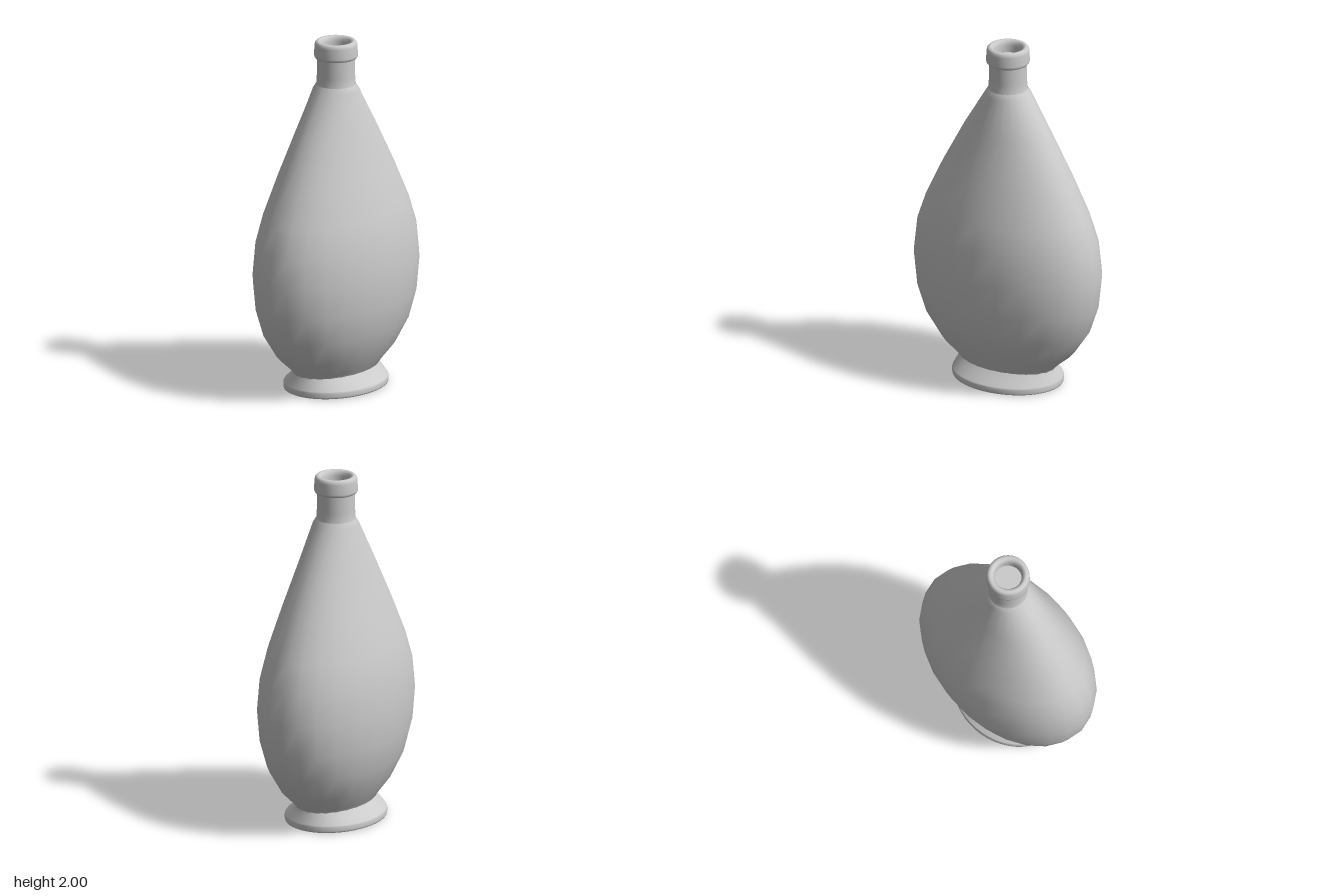
import * as THREE from 'three';

const material = new THREE.MeshStandardMaterial({ color: 0xcccccc, side: THREE.DoubleSide });

// Smooth skin through elliptical rings given as [y, halfWidthX, halfDepthZ], bottom to top
function ellipseLoft(name, rings, segments) {
  const positions = [];
  const indices = [];
  const row = segments + 1;
  rings.forEach(([y, rx, rz], j) => {
    for (let i = 0; i <= segments; i++) {
      const a = ((i % segments) / segments) * Math.PI * 2;
      positions.push(rx * Math.sin(a), y, rz * Math.cos(a));
      if (j > 0 && i < segments) {
        const p = (j - 1) * row + i;
        const q = p + row;
        indices.push(p, p + 1, q + 1, p, q + 1, q);
      }
    }
  });
  const geometry = new THREE.BufferGeometry();
  geometry.setAttribute('position', new THREE.Float32BufferAttribute(positions, 3));
  geometry.setIndex(indices);
  geometry.computeVertexNormals();
  // Blend the normals across the seam
  const n = geometry.attributes.normal;
  const a = new THREE.Vector3();
  const b = new THREE.Vector3();
  for (let j = 0; j < rings.length; j++) {
    const first = j * row;
    const last = first + segments;
    a.fromBufferAttribute(n, first).add(b.fromBufferAttribute(n, last)).normalize();
    n.setXYZ(first, a.x, a.y, a.z);
    n.setXYZ(last, a.x, a.y, a.z);
  }
  const mesh = new THREE.Mesh(geometry, material);
  mesh.name = name;
  return mesh;
}

// Round part from a [radius, y] profile
function lathe(name, profile, segments = 48) {
  const points = profile.map(([r, y]) => new THREE.Vector2(r, y));
  const mesh = new THREE.Mesh(new THREE.LatheGeometry(points, segments), material);
  mesh.name = name;
  return mesh;
}

// Flat horizontal ellipse
function disc(name, y, rx, rz, facing) {
  const geometry = new THREE.CircleGeometry(1, 48);
  geometry.rotateX(-facing * Math.PI / 2);
  geometry.scale(rx, 1, rz);
  geometry.translate(0, y, 0);
  const mesh = new THREE.Mesh(geometry, material);
  mesh.name = name;
  return mesh;
}

export function createModel() {
  const group = new THREE.Group();
  group.name = 'bottle';

  // Flattened teardrop body, narrowing to a round shoulder
  group.add(ellipseLoft('body', [
    [0.10, 0.19, 0.295],
    [0.12, 0.2, 0.305],
    [0.21, 0.262, 0.41],
    [0.35, 0.325, 0.505],
    [0.51, 0.36, 0.56],
    [0.69, 0.372, 0.58],
    [0.87, 0.36, 0.56],
    [1.03, 0.327, 0.505],
    [1.25, 0.263, 0.4],
    [1.5, 0.188, 0.265],
    [1.72, 0.13, 0.13],
    [1.75, 0.112, 0.112],
  ], 24));

  // Flared oval foot with a softened rim
  const foot = new THREE.Group();
  foot.name = 'foot';
  foot.add(ellipseLoft('footSide', [
    [0, 0.255, 0.318],
    [0.004, 0.264, 0.326],
    [0.012, 0.267, 0.328],
    [0.034, 0.267, 0.328],
    [0.042, 0.262, 0.325],
    [0.08, 0.217, 0.306],
    [0.108, 0.19, 0.295],
  ], 48));
  foot.add(disc('footBase', 0, 0.255, 0.318, -1));
  group.add(foot);

  // Straight neck
  group.add(lathe('neck', [[0.115, 1.735], [0.108, 1.76], [0.107, 1.8], [0.107, 1.91]]));

  // Rounded lip with a shallow mouth
  group.add(lathe('lip', [
    [0.105, 1.9], [0.115, 1.902], [0.121, 1.91], [0.122, 1.92], [0.12, 1.975],
    [0.117, 1.99], [0.109, 1.998], [0.1, 2], [0.091, 1.998], [0.082, 1.988],
    [0.077, 1.97], [0.077, 1.93],
  ]));
  group.add(disc('mouthFloor', 1.93, 0.078, 0.078, 1));

  return group;
}
